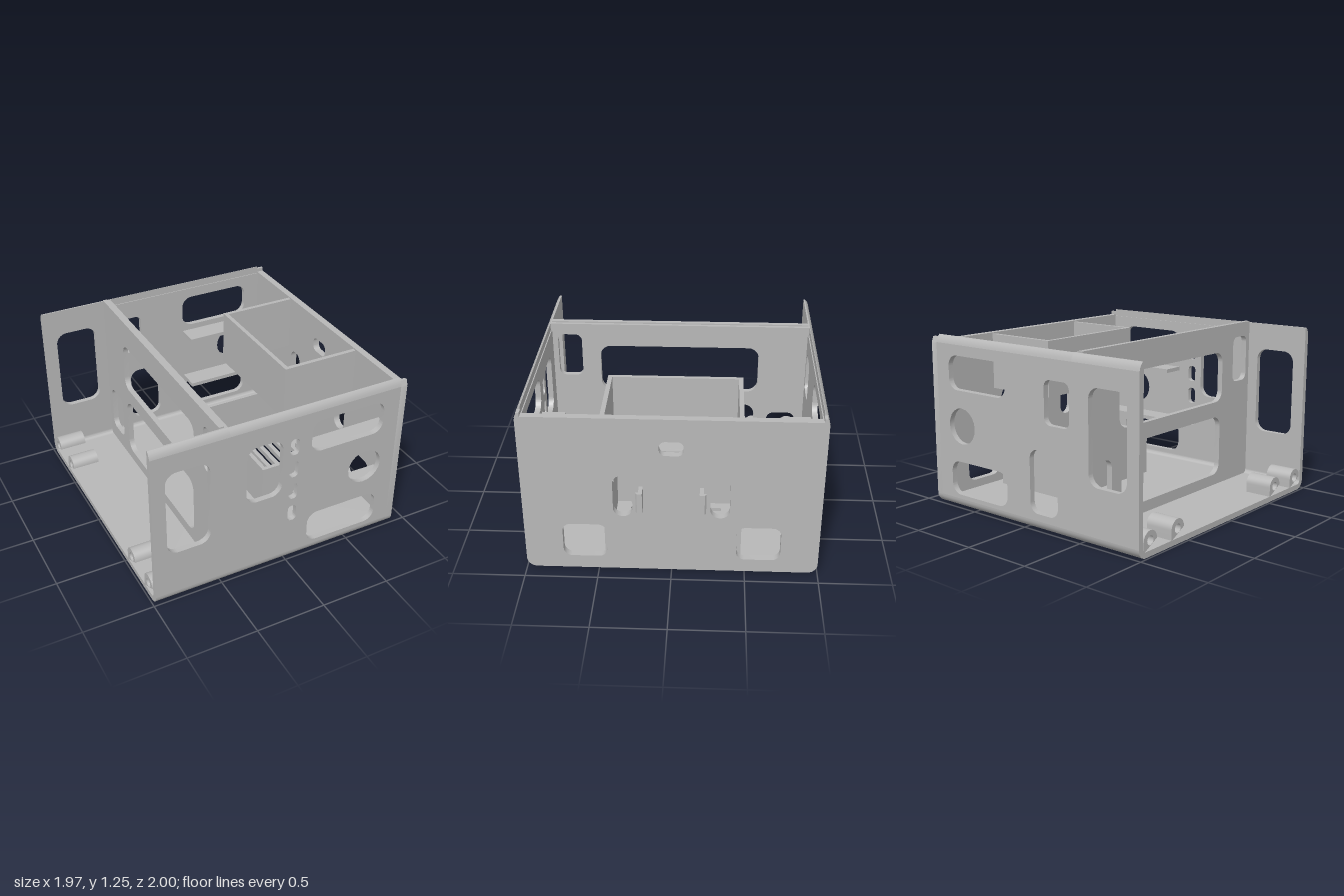
import * as THREE from 'three';
import { toCreasedNormals } from 'three/addons/utils/BufferGeometryUtils.js';

const casing = new THREE.MeshStandardMaterial({ color: 0xb8b8b8 });
casing.name = 'casing grey';

// rounded rectangle from corner (a, b) to corner (c, d)
function rounded(a, b, c, d, r = 0) {
  const s = new THREE.Shape();
  if (!r) {
    s.moveTo(a, b).lineTo(c, b).lineTo(c, d).lineTo(a, d).closePath();
    return s;
  }
  s.absarc(c - r, b + r, r, -Math.PI / 2, 0);
  s.absarc(c - r, d - r, r, 0, Math.PI / 2);
  s.absarc(a + r, d - r, r, Math.PI / 2, Math.PI);
  s.absarc(a + r, b + r, r, Math.PI, Math.PI * 1.5);
  s.closePath();
  return s;
}

function disc(x, y, r) {
  const s = new THREE.Shape();
  s.absarc(x, y, r, 0, Math.PI * 2);
  return s;
}

const polygon = (pts) => new THREE.Shape(pts.map(([x, y]) => new THREE.Vector2(x, y)));

export function createModel() {
  const model = new THREE.Group();
  model.name = 'openCase';

  function add(name, geometry) {
    const mesh = new THREE.Mesh(toCreasedNormals(geometry, 0.6), casing);
    mesh.name = name;
    model.add(mesh);
    return mesh;
  }
  function extrude(shape, holes, depth) {
    shape.holes.push(...holes);
    return new THREE.ExtrudeGeometry(shape, { depth, bevelEnabled: false, curveSegments: 10 });
  }
  // plate in x, y between z0 and z1
  const plateZ = (name, shape, holes, z0, z1) =>
    add(name, extrude(shape, holes, z1 - z0).translate(0, 0, z0));
  // plate or profile in z, y between x0 and x1
  const plateX = (name, shape, holes, x0, x1) =>
    add(name, extrude(shape, holes, x1 - x0).rotateY(-Math.PI / 2).translate(x1, 0, 0));
  // plate in x, z between y0 and y1
  const plateY = (name, shape, holes, y0, y1) =>
    add(name, extrude(shape, holes, y1 - y0).rotateX(Math.PI / 2).translate(0, y1, 0));
  function box(name, x0, x1, y0, y1, z0, z1) {
    const g = new THREE.BoxGeometry(x1 - x0, y1 - y0, z1 - z0);
    return add(name, g.translate((x0 + x1) / 2, (y0 + y1) / 2, (z0 + z1) / 2));
  }

  const X0 = -0.985, X1 = 0.84, X2 = 0.89;

  // side walls with openings
  const sharedHoles = () => [
    rounded(-0.89, 0.4, -0.58, 1.04, 0.08),
    rounded(0.16, 0.86, 0.72, 1.105, 0.08),
    rounded(0.16, 0.1, 0.72, 0.345, 0.08),
    disc(0.6, 0.605, 0.13),
  ];
  const smallSlots = [0.345, 0.53, 0.71, 0.89].map((y) => rounded(0, y, 0.065, y + 0.125, 0.028));
  plateZ('frontWall', rounded(X0, 0.07, X1, 1.18),
    [...sharedHoles(), ...smallSlots, rounded(-0.32, 0.6, -0.055, 1.04, 0.08)], 0.96, 1);
  plateZ('backWall', rounded(X0, 0.07, X1, 1.18),
    [...sharedHoles(), rounded(-0.42, 0.74, -0.2, 1.04, 0.05), rounded(-0.31, 0.12, -0.06, 0.56, 0.07)], -1, -0.96);

  // rounded lower edges and tapered upper rims
  for (const s of [1, -1]) {
    const side = s > 0 ? 'front' : 'back';
    const corner = [];
    for (let i = 0; i <= 8; i++) {
      const a = (i / 8) * Math.PI / 2;
      corner.push([s * (0.93 + 0.07 * Math.cos(a)), 0.07 - 0.07 * Math.sin(a)]);
    }
    for (let i = 8; i >= 0; i--) {
      const a = (i / 8) * Math.PI / 2;
      corner.push([s * (0.93 + 0.03 * Math.cos(a)), 0.07 - 0.03 * Math.sin(a)]);
    }
    plateX(side + 'LowerEdge', polygon(corner), [], X0, X1);
    const rim = (inner) => polygon([[1, 1.18], [0.995, 1.2], [0.983, 1.222], [0.97, 1.235], [inner, 1.235], [inner, 1.18]]
      .map(([z, y]) => [s * z, y]));
    plateX(side + 'Rim', rim(0.96), [], X0, -0.44);
    plateX(side + 'LidRail', rim(0.967), [], -0.44, X1);
    plateX(side + 'RimEnd', polygon([[1, 1.18], [0.985, 1.217], [0.965, 1.217], [0.965, 1.18]]
      .map(([z, y]) => [s * z, y])), [], X1, X2);
  }

  // floor in two layers: vents through both, shallow recess below
  const vents = () => Array.from({ length: 7 }, (_, i) => {
    const x = 0.2 + i * 0.076;
    return rounded(x, -0.34, x + 0.042, 0.335, 0.02);
  });
  plateY('floor', rounded(X0, -0.93, X1, 0.93), vents(), 0.012, 0.04);
  plateY('floorUnderside', rounded(X0, -0.93, X1, 0.93),
    [...vents(), rounded(-0.86, -0.76, -0.69, 0.76, 0.04)], 0, 0.012);

  // end wall
  const endHoles = [rounded(-0.08, 0.92, 0.08, 1.025, 0.04)];
  for (const s of [1, -1]) {
    const span = (a, b) => (s > 0 ? [a, b] : [-b, -a]);
    const [a, b] = span(0.26, 0.39), [c, d] = span(0.44, 0.74);
    endHoles.push(rounded(a, 0.44, b, 0.76, 0.062), rounded(c, 0.1, d, 0.365, 0.06));
  }
  const end = new THREE.Shape();
  end.absarc(0.93, 0.07, 0.07, -Math.PI / 2, 0);
  end.lineTo(1, 1.17).lineTo(0.99, 1.19).lineTo(-0.99, 1.19).lineTo(-1, 1.17);
  end.absarc(-0.93, 0.07, 0.07, Math.PI, Math.PI * 1.5);
  plateX('endWall', end, endHoles, X1, X2);

  // snap hooks outside the end wall
  for (const s of [1, -1]) {
    const hook = polygon([[X2, 0.188], [0.98, 0.188], [0.98, 0.222], [0.968, 0.232], [0.96, 0.232], [0.96, 0.214], [X2, 0.214]]
      .map(([x, z]) => [x, s * z]));
    plateY(s > 0 ? 'frontHook' : 'backHook', hook, [], 0.53, 0.68);
  }

  // cross divider with top bar
  plateX('divider', rounded(-0.96, 0.04, 0.96, 1.2), [
    rounded(-0.58, 0.12, 0.58, 0.565, 0.08),
    rounded(-0.6, 0.68, 0.6, 1.05, 0.08),
    rounded(-0.9, 0.155, -0.68, 0.5, 0.06),
    rounded(0.74, 0.8, 0.92, 1.14, 0.05),
  ], -0.5, -0.46);
  box('dividerTopBar', -0.5, -0.465, 1.2, 1.245, -0.96, 0.96);
  box('dividerTopLedge', -0.465, -0.44, 1.17, 1.235, -0.96, 0.96);

  // upper compartment, open above and below
  box('compartmentFace', 0.27, 0.3, 0.77, 1.18, -0.465, 0.46);
  box('compartmentBackSide', 0.3, X1, 0.77, 1.18, -0.465, -0.435);
  box('compartmentFrontSide', 0.3, X1, 0.77, 1.18, 0.43, 0.46);

  // low frame around the vents
  box('ventFrameFace', 0.11, 0.14, 0.04, 0.385, -0.475, 0.47);
  box('ventFrameBack', 0.14, 0.76, 0.04, 0.385, -0.475, -0.445);
  box('ventFrameFront', 0.14, 0.76, 0.04, 0.385, 0.44, 0.47);

  // shelves along the side walls
  for (const y of [0.375, 0.785]) {
    box('frontShelf', 0.16, X1, y, y + 0.03, 0.795, 0.96);
    box('backShelf', 0.16, X1, y, y + 0.03, -0.96, -0.8);
  }

  // hinge knuckles at the open end
  for (const z of [-0.885, -0.6, 0.595, 0.88]) {
    const arch = new THREE.Shape();
    arch.moveTo(z + 0.067, 0.035);
    arch.absarc(z, 0.105, 0.067, 0, Math.PI);
    arch.lineTo(z - 0.067, 0.035);
    plateX('hingeKnuckle', arch, [disc(z, 0.105, 0.032)], X0, -0.785);
  }

  return model;
}
